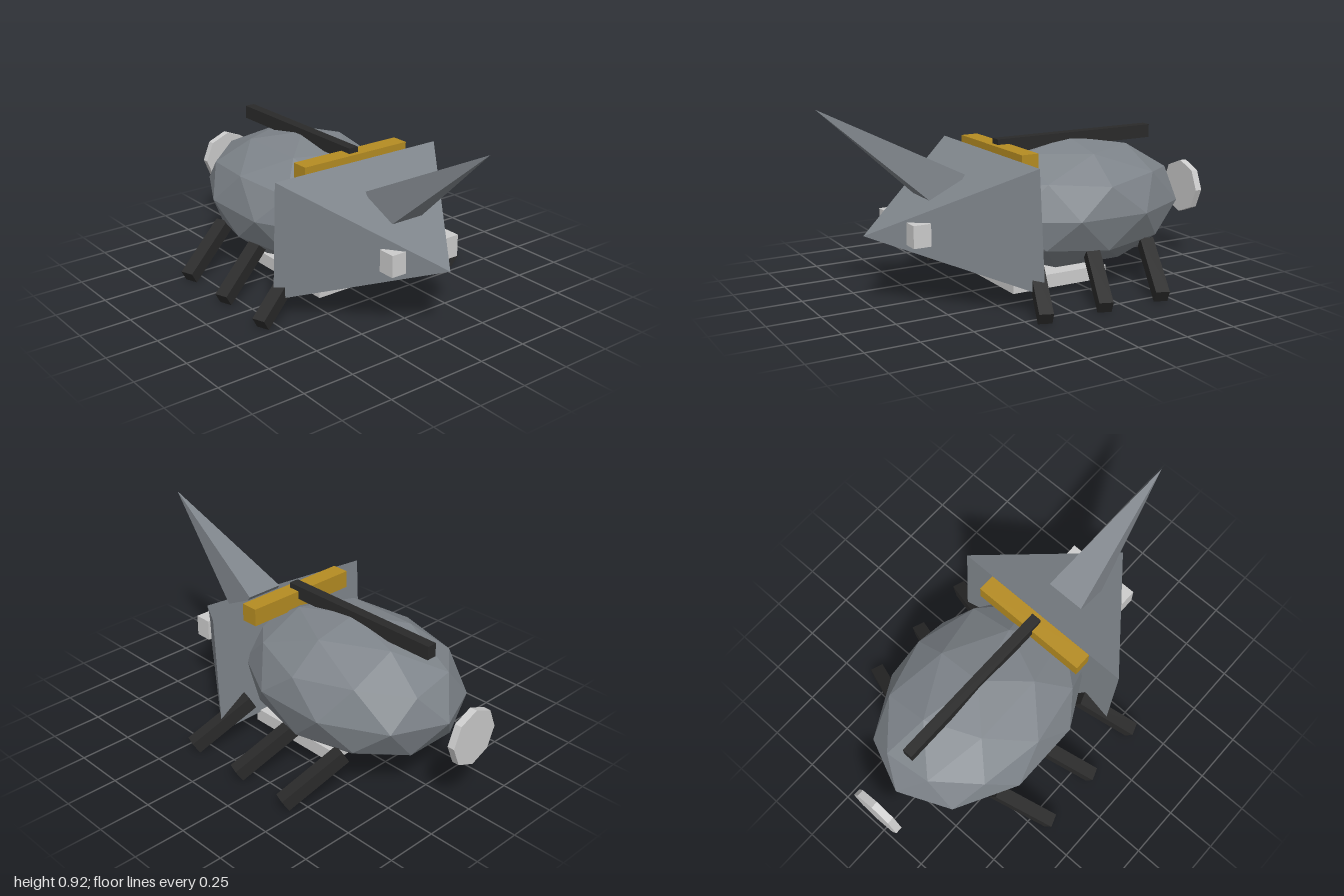
import * as THREE from 'three';

export function createModel() {
  const model = new THREE.Group();
  const mat = (name, color) => {
    const m = new THREE.MeshStandardMaterial({ color, flatShading: true });
    m.name = name;
    return m;
  };
  const shell = mat('shellGrey', 0x7e848a);
  const dark = mat('darkMetal', 0x2a2a2a);
  const pale = mat('paleGrey', 0xcccccc);
  const gold = mat('gold', 0xb58c22);

  const add = (name, geometry, material, x, y, z) => {
    const mesh = new THREE.Mesh(geometry, material);
    mesh.name = name;
    mesh.position.set(x, y, z);
    model.add(mesh);
    return mesh;
  };
  const box = (w, h, d) => new THREE.BoxGeometry(w, h, d);

  // Pyramid with its rectangular base at the origin, pointing along +z
  const pyramid = (w, h, length) =>
    new THREE.ConeGeometry(Math.SQRT1_2, 1, 4, 1, false, Math.PI / 4)
      .translate(0, 0.5, 0)
      .rotateX(Math.PI / 2)
      .scale(w, h, length);

  // Faceted body: icosphere with a corner at the top, stretched along z
  const bodyGeometry = new THREE.IcosahedronGeometry(1, 1)
    .rotateX(-Math.atan((1 + Math.sqrt(5)) / 2))
    .rotateY(Math.PI / 2)
    .scale(0.43, 0.315, 0.58);
  add('body', bodyGeometry, shell, 0, 0.38, -0.28);

  // Wedge head, dipping slightly
  add('head', pyramid(0.93, 0.58, 0.65), shell, 0, 0.376, 0.14).rotation.x = 0.053;

  // Horn sweeping forward and up
  add('horn', pyramid(0.194, 0.194, 0.734), shell, 0, 0.51, 0.384).rotation.x = -0.6;

  // Bars on the back
  add('neckBar', box(0.59, 0.085, 0.085), gold, 0, 0.652, 0.103);
  add('backRail', box(0.05, 0.065, 0.86), dark, 0, 0.688, -0.31);

  // Belly plate and octagonal tail disc
  add('bellyPlate', box(0.445, 0.065, 0.51), pale, 0, 0.064, -0.105);
  add('tailDisc', new THREE.CylinderGeometry(0.135, 0.135, 0.035, 8).rotateX(Math.PI / 2),
    pale, 0, 0.376, -0.982);

  // Eyes and three pairs of splayed legs
  for (const side of [1, -1]) {
    const label = side > 0 ? 'left' : 'right';
    add(label + 'Eye', box(0.1, 0.104, 0.085), pale, side * 0.14, 0.358, 0.588);
    ['Front', 'Middle', 'Rear'].forEach((row, i) => {
      const leg = add(label + row + 'Leg', box(0.34, 0.065, 0.065), dark,
        side * 0.448, 0.118, 0.143 - i * 0.31);
      leg.rotation.set(0, -side * 0.35, -side * 0.56, 'YZX');
    });
  }
  return model;
}
